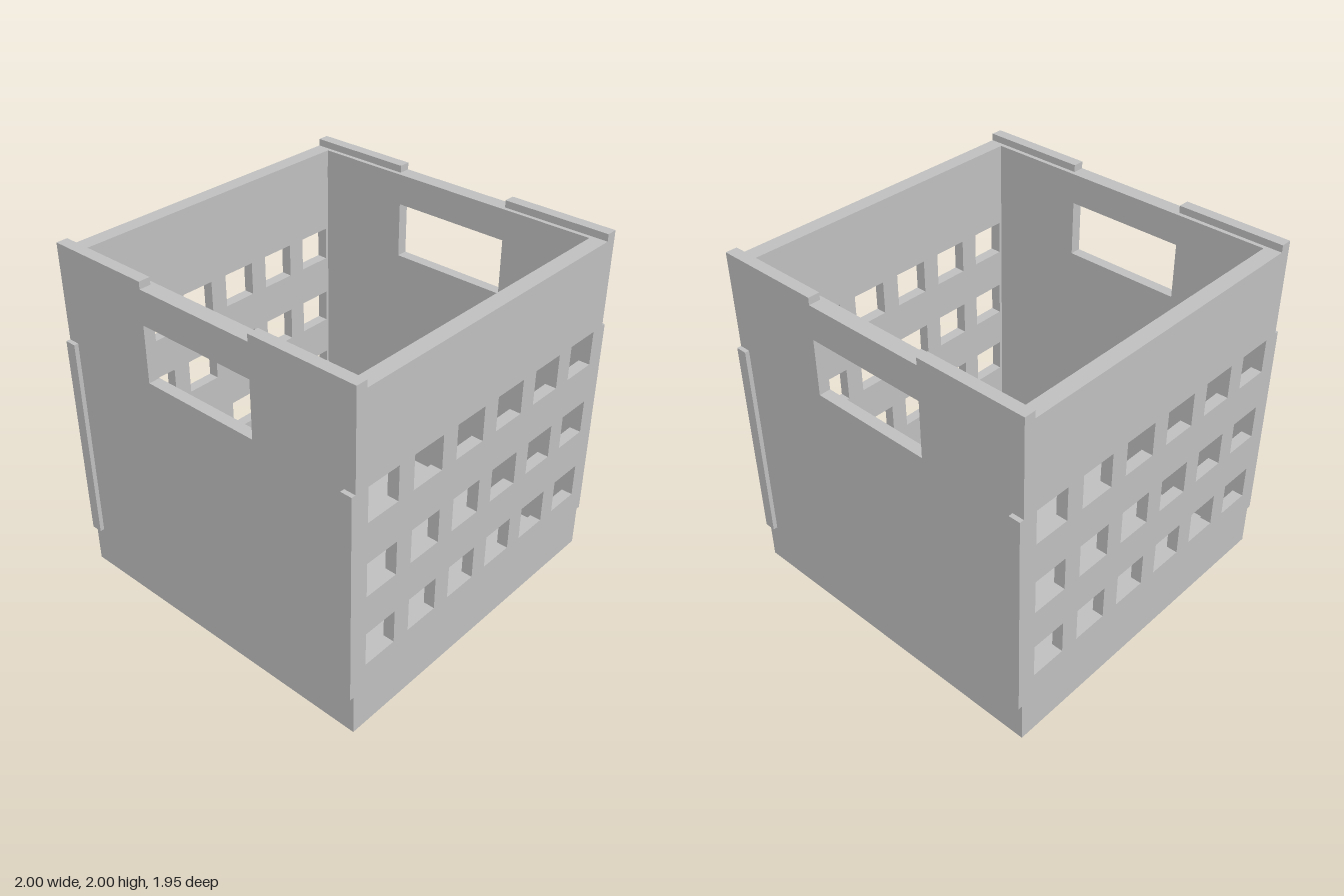
import * as THREE from 'three';

const OUT = 0.975, IN = 0.91, RIM = 0.885, T = OUT - IN; // outer face, inner face, rim face, board thickness
const TOP = 2, LOW = 1.96;                               // raised and lowered top edges
const TAB = [0.24, 1.455];                               // height range of the joint tabs

const grey = new THREE.MeshStandardMaterial({ color: 0xbfbfbf });
grey.name = 'crate grey';

// Mirrored outline from its right half, listed bottom to top
function outline(half) {
  const left = half.map(([x, y]) => [-x, y]).reverse();
  return new THREE.Shape([...half, ...left].map(([x, y]) => new THREE.Vector2(x, y)));
}

function cutRect(shape, x0, x1, y0, y1) {
  shape.holes.push(new THREE.Path([[x0, y0], [x0, y1], [x1, y1], [x1, y0]]
    .map(([x, y]) => new THREE.Vector2(x, y))));
}

// Upright board whose outer face is OUT away from the centre
function board(shape, angle, name) {
  const geo = new THREE.ExtrudeGeometry(shape, { depth: T, bevelEnabled: false });
  geo.translate(0, 0, IN);
  const mesh = new THREE.Mesh(geo, grey);
  mesh.rotation.y = angle;
  mesh.name = name;
  return mesh;
}

function box(name, x0, x1, y0, y1, z0, z1) {
  const mesh = new THREE.Mesh(new THREE.BoxGeometry(x1 - x0, y1 - y0, z1 - z0), grey);
  mesh.position.set((x0 + x1) / 2, (y0 + y1) / 2, (z0 + z1) / 2);
  mesh.name = name;
  return mesh;
}

export function createModel() {
  const crate = new THREE.Group();
  crate.name = 'crate';

  // Front and back boards: tabs through the sides and a grid of windows
  const slotted = outline([[IN, 0], [IN, TAB[0]], [1, TAB[0]], [1, TAB[1]], [IN, TAB[1]], [IN, LOW]]);
  for (const y of [0.395, 0.825, 1.255]) {
    for (let i = 0; i < 6; i++) {
      const x = (i - 2.5) * 0.315;
      cutRect(slotted, x - 0.104, x + 0.104, y, y + 0.198);
    }
  }
  crate.add(board(slotted, 0, 'frontBoard'), board(slotted, Math.PI, 'backBoard'));

  // Side boards: notched for the tabs, with a hand hole and a lowered top
  const side = outline([[OUT, 0], [OUT, TAB[0]], [IN, TAB[0]], [IN, TAB[1]], [OUT, TAB[1]],
    [OUT, TOP], [0.355, TOP], [0.355, LOW]]);
  cutRect(side, -0.355, 0.355, 1.45, 1.77);
  crate.add(board(side, Math.PI / 2, 'leftBoard'), board(side, -Math.PI / 2, 'rightBoard'));

  // Floor
  crate.add(box('floor', -IN, IN, 0, T, -IN, IN));

  // Thin rim strips inside the top edge
  const rim = new THREE.Group();
  rim.name = 'innerRim';
  const y0 = 1.86;
  rim.add(
    box('frontRim', -IN, IN, y0, LOW, RIM, IN),
    box('backRim', -IN, IN, y0, LOW, -IN, -RIM),
    box('leftRim', RIM, IN, y0, LOW, -RIM, RIM),
    box('rightRim', -IN, -RIM, y0, LOW, -RIM, RIM),
  );
  crate.add(rim);
  return crate;
}
